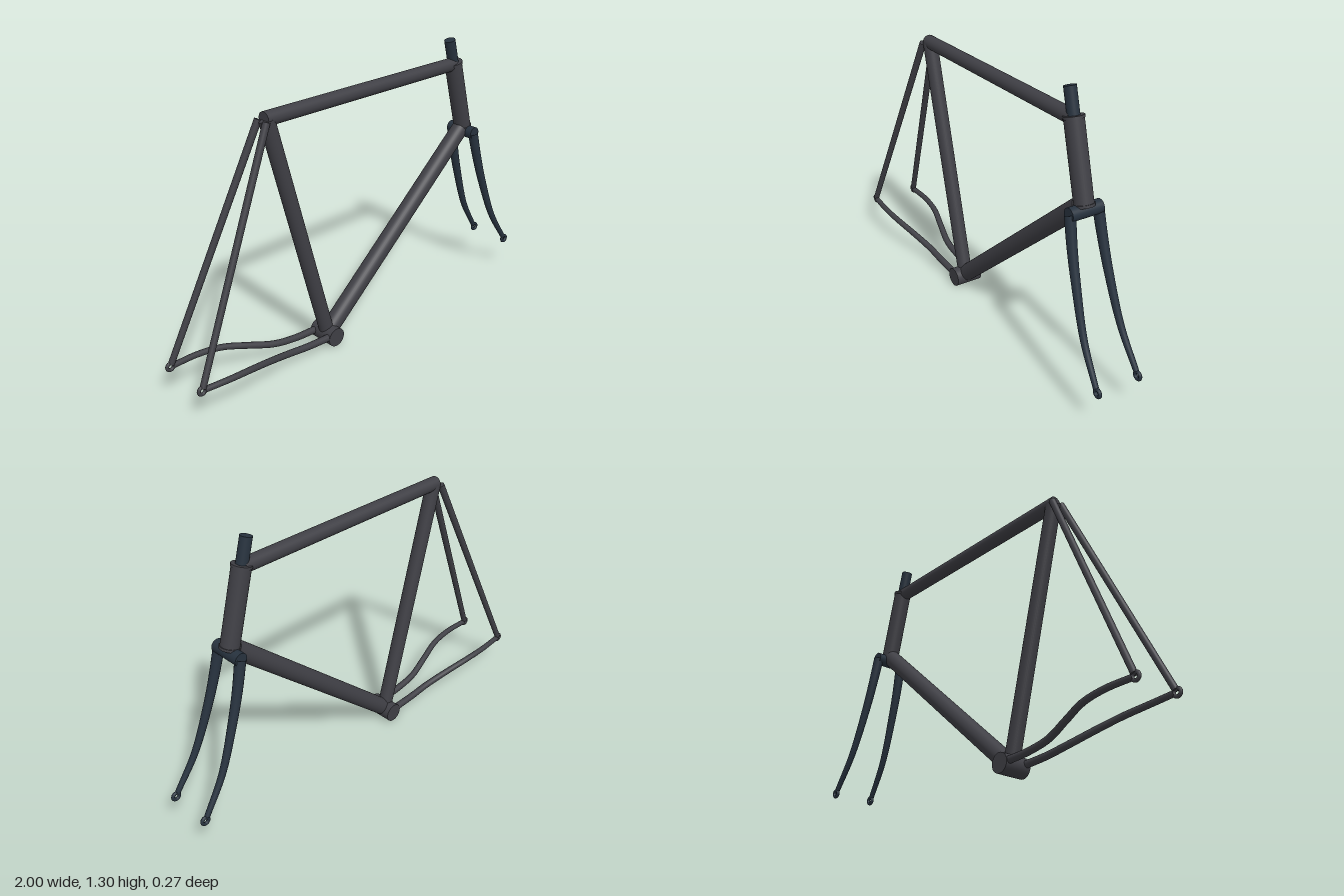
import * as THREE from 'three';

const frameMat = new THREE.MeshStandardMaterial({ color: 0x3f3f45 });
const forkMat = new THREE.MeshStandardMaterial({ color: 0x27323e });
const V = (x, y, z = 0) => new THREE.Vector3(x, y, z);

function add(parent, name, geometry, material) {
  const mesh = new THREE.Mesh(geometry, material);
  mesh.name = name;
  parent.add(mesh);
  return mesh;
}

// Straight round tube from a to b, optionally tapered
function tube(parent, name, a, b, ra, rb = ra, material = frameMat) {
  const dir = b.clone().sub(a);
  const mesh = add(parent, name, new THREE.CylinderGeometry(rb, ra, dir.length(), 32), material);
  mesh.position.copy(a).lerp(b, 0.5);
  mesh.quaternion.setFromUnitVectors(V(0, 1, 0), dir.normalize());
  return mesh;
}

// Curved tube whose radius runs from ra to rb along its path
function taperedTube(parent, name, points, ra, rb, material) {
  const curve = new THREE.CatmullRomCurve3(points);
  const steps = 40, sides = 16;
  const geometry = new THREE.TubeGeometry(curve, steps, 1, sides);
  const pos = geometry.attributes.position;
  const p = V(0, 0);
  for (let i = 0; i < pos.count; i++) {
    const t = Math.floor(i / (sides + 1)) / steps;
    const c = curve.getPointAt(t);
    p.fromBufferAttribute(pos, i).sub(c).multiplyScalar(ra + (rb - ra) * t).add(c);
    pos.setXYZ(i, p.x, p.y, p.z);
  }
  geometry.computeBoundingSphere();
  return add(parent, name, geometry, material);
}

// Open eyelet that holds a wheel axle
function dropout(parent, name, x, y, z, material) {
  add(parent, name, new THREE.TorusGeometry(0.016, 0.008, 12, 24), material).position.set(x, y, z);
}

export function createModel() {
  const model = new THREE.Group();
  model.name = 'bicycleFrameset';
  const frame = new THREE.Group();
  frame.name = 'frame';
  const fork = new THREE.Group();
  fork.name = 'fork';
  model.add(frame, fork);

  // Main triangle
  const headTop = V(0.613, 1.177), headBottom = V(0.702, 0.843);
  tube(frame, 'bottomBracketShell', V(-0.207, 0.045, -0.066), V(-0.207, 0.045, 0.066), 0.045);
  tube(frame, 'seatTube', V(-0.207, 0.045), V(-0.507, 1.165), 0.034);
  tube(frame, 'topTube', V(-0.52, 1.167), V(0.612, 1.172), 0.032);
  tube(frame, 'downTube', V(-0.185, 0.065), V(0.685, 0.832), 0.041);
  tube(frame, 'headTube', headTop, headBottom, 0.041);

  // Bearing rings at both ends of the head tube
  const axis = headTop.clone().sub(headBottom).normalize();
  for (const [name, end] of [['upperHeadRing', headTop], ['lowerHeadRing', headBottom]]) {
    const half = axis.clone().multiplyScalar(0.006);
    tube(frame, name, end.clone().sub(half), end.clone().add(half), 0.044);
  }

  // Steerer and crown
  tube(fork, 'steerer', V(0.71, 0.815), V(0.581, 1.293), 0.026, 0.026, forkMat);
  tube(fork, 'forkCrown', V(0.707, 0.82, -0.076), V(0.707, 0.82, 0.076), 0.03, 0.03, forkMat);

  // Mirrored stays, blades and dropouts
  for (const [s, side] of [[1, 'front'], [-1, 'back']]) {
    tube(frame, side + 'SeatStay', V(-0.528, 1.163, s * 0.027), V(-0.972, 0.172, s * 0.115), 0.016, 0.014);
    taperedTube(frame, side + 'ChainStay', [
      V(-0.207, 0.05, s * 0.048), V(-0.36, 0.058, s * 0.048), V(-0.48, 0.077, s * 0.054),
      V(-0.605, 0.112, s * 0.083), V(-0.72, 0.142, s * 0.111), V(-0.84, 0.156, s * 0.121),
      V(-0.967, 0.162, s * 0.115),
    ], 0.017, 0.013, frameMat);
    dropout(frame, side + 'RearDropout', -0.977, 0.162, s * 0.115, frameMat);
    taperedTube(fork, side + 'ForkBlade', [
      V(0.705, 0.82, s * 0.068), V(0.737, 0.69, s * 0.075), V(0.777, 0.56, s * 0.081),
      V(0.862, 0.34, s * 0.093), V(0.963, 0.178, s * 0.102),
    ], 0.024, 0.012, forkMat);
    dropout(fork, side + 'ForkDropout', 0.974, 0.162, s * 0.102, forkMat);
  }
  return model;
}
